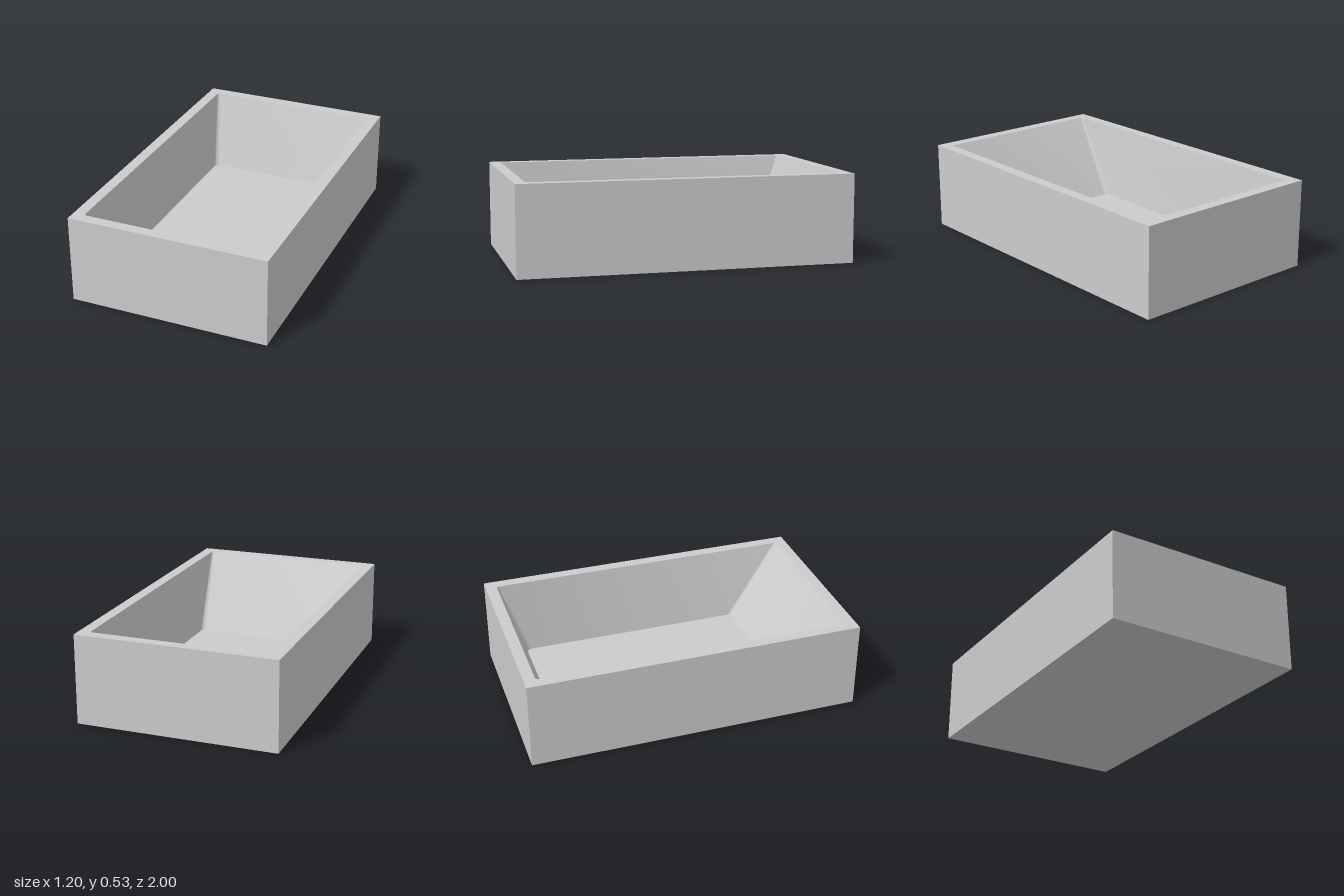
import * as THREE from 'three';
import { toCreasedNormals } from 'three/addons/utils/BufferGeometryUtils.js';

const W = 1.2, H = 0.533, L = 2, WALL = 0.067;

// Rounded rectangle outline, counter-clockwise from above, as (x, -z) points
function outline(halfX, zBack, zFront, r, steps = 8) {
  const corners = [[1, -zBack, 1], [-1, -zBack, 1], [-1, -zFront, -1], [1, -zFront, -1]];
  const points = [];
  corners.forEach(([sx, y, sy], c) => {
    for (let i = 0; i <= steps; i++) {
      const a = (c + i / steps) * Math.PI / 2;
      points.push(new THREE.Vector2(
        sx * (halfX - r) + r * Math.cos(a),
        y - sy * r + r * Math.sin(a)));
    }
  });
  return points;
}

// Sloping walls joining the floor outline to the rim outline, facing inward
function basinWalls(low, high, yLow, yHigh) {
  const pos = [];
  const put = (p, y) => pos.push(p.x, y, -p.y);
  for (let i = 0; i < low.length; i++) {
    const j = (i + 1) % low.length;
    put(low[i], yLow); put(high[j], yHigh); put(low[j], yLow);
    put(low[i], yLow); put(high[i], yHigh); put(high[j], yHigh);
  }
  const geo = new THREE.BufferGeometry();
  geo.setAttribute('position', new THREE.Float32BufferAttribute(pos, 3));
  return toCreasedNormals(geo, 0.5);
}

const flat = (shape, y) => new THREE.ShapeGeometry(shape).rotateX(-Math.PI / 2).translate(0, y, 0);

export function createModel() {
  const group = new THREE.Group();
  group.name = 'tub';
  const material = new THREE.MeshStandardMaterial({ color: 0xcccccc });
  const add = (name, geometry) => {
    const mesh = new THREE.Mesh(geometry, material);
    mesh.name = name;
    group.add(mesh);
  };

  const opening = outline(W / 2 - WALL, -L / 2 + WALL, L / 2 - WALL, 0.018);
  const base = outline(0.488, -0.78, 0.615, 0.033);

  // Outer box with its top face left out
  const shell = new THREE.BoxGeometry(W, H, L).translate(0, H / 2, 0);
  const top = shell.groups[2];
  shell.setIndex(Array.from(shell.index.array).filter((_, i) => i < top.start || i >= top.start + top.count));
  shell.clearGroups();
  add('outerShell', shell);

  // Flat rim around the opening
  const rim = new THREE.Shape([[-1, -1], [1, -1], [1, 1], [-1, 1]]
    .map(([x, y]) => new THREE.Vector2(x * W / 2, y * L / 2)));
  rim.holes.push(new THREE.Path(opening));
  add('rim', flat(rim, H));

  // Basin, steeper at the back and gently sloped at the front
  add('basinWalls', basinWalls(base, opening, WALL, H));
  add('basinFloor', flat(new THREE.Shape(base), WALL));

  return group;
}
